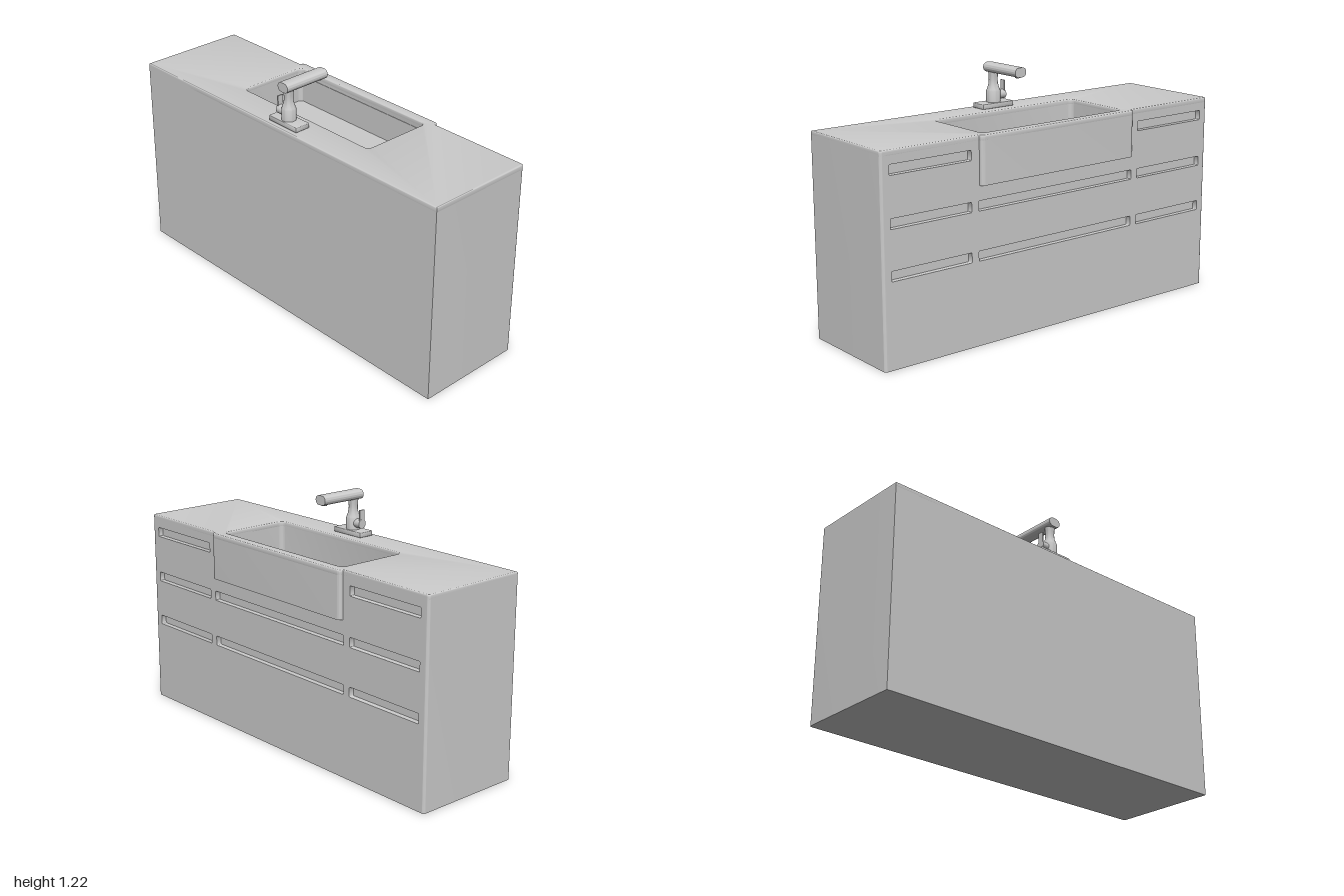
import * as THREE from 'three';
import { toCreasedNormals } from 'three/addons/utils/BufferGeometryUtils.js';

const material = new THREE.MeshStandardMaterial({ color: 0xcccccc });

function add(parent, name, geometry, x = 0, y = 0, z = 0) {
  const mesh = new THREE.Mesh(geometry, material);
  mesh.name = name;
  mesh.position.set(x, y, z);
  parent.add(mesh);
  return mesh;
}

// Rounded rectangle as a path or shape
function roundRect(Type, x0, y0, x1, y1, r) {
  const p = new Type();
  p.moveTo(x0 + r, y0);
  p.lineTo(x1 - r, y0);
  p.absarc(x1 - r, y0 + r, r, -Math.PI / 2, 0);
  p.lineTo(x1, y1 - r);
  p.absarc(x1 - r, y1 - r, r, 0, Math.PI / 2);
  p.lineTo(x0 + r, y1);
  p.absarc(x0 + r, y1 - r, r, Math.PI / 2, Math.PI);
  p.lineTo(x0, y0 + r);
  p.absarc(x0 + r, y0 + r, r, Math.PI, Math.PI * 1.5);
  return p;
}

// Extrude a plan shape upward from y0 to y1, optionally with softened edges
function plan(shape, y0, y1, bevel = 0) {
  const g = new THREE.ExtrudeGeometry(shape, {
    depth: y1 - y0 - 2 * bevel, curveSegments: 8, bevelEnabled: bevel > 0,
    bevelSize: bevel, bevelThickness: bevel, bevelOffset: -bevel, bevelSegments: 3,
  });
  g.rotateX(-Math.PI / 2);
  g.translate(0, y0 + bevel, 0);
  return toCreasedNormals(g, 0.6);
}

// Extrude a (z, y) shape along x from x0 to x1
function sideways(shape, x0, x1) {
  const g = new THREE.ExtrudeGeometry(shape, { depth: x1 - x0, bevelEnabled: false, curveSegments: 10 });
  g.rotateY(Math.PI / 2);
  g.translate(x0, 0, 0);
  return toCreasedNormals(g, 0.6);
}

const BACK = -0.29, FRONT = 0.27, APRON = 0.29;
const basinHole = () => roundRect(THREE.Path, -0.13, -0.43, 0.24, 0.43, 0.025);

function buildCabinet() {
  const cabinet = new THREE.Group();
  cabinet.name = 'cabinet';

  // Sides and back in one C-shaped plan, with rounded front corners
  const c = new THREE.Shape();
  c.moveTo(BACK, -1);
  c.lineTo(FRONT - 0.012, -1);
  c.absarc(FRONT - 0.012, -0.988, 0.012, -Math.PI / 2, 0);
  c.lineTo(FRONT, -0.975);
  c.lineTo(BACK + 0.025, -0.975);
  c.lineTo(BACK + 0.025, 0.975);
  c.lineTo(FRONT, 0.975);
  c.lineTo(FRONT, 0.988);
  c.absarc(FRONT - 0.012, 0.988, 0.012, 0, Math.PI / 2);
  c.lineTo(BACK, 1);
  add(cabinet, 'sidesAndBack', plan(c, 0, 0.99));
  add(cabinet, 'bottom', new THREE.BoxGeometry(0.55, 0.02, 1.96), -0.007, 0.01, 0);

  // Front panel with recessed finger pulls
  const panel = roundRect(THREE.Shape, -0.975, 0, 0.975, 0.99, 0);
  for (const y of [0.435, 0.672, 0.912]) {
    const spans = [[-0.955, -0.515], [0.515, 0.955]];
    if (y < 0.8) spans.push([-0.475, 0.475]);
    for (const [a, b] of spans) {
      panel.holes.push(roundRect(THREE.Path, a, y - 0.024, b, y + 0.024, 0.005));
    }
  }
  add(cabinet, 'frontPanel', sideways(panel, FRONT - 0.028, FRONT));
  add(cabinet, 'pullBacking', new THREE.BoxGeometry(0.005, 0.6, 1.95), FRONT - 0.0295, 0.66, 0);
  return cabinet;
}

function buildSink() {
  const sink = new THREE.Group();
  sink.name = 'sink';

  // Worktop that steps forward over the apron
  const top = new THREE.Shape();
  top.moveTo(BACK, -1);
  top.lineTo(FRONT - 0.012, -1);
  top.absarc(FRONT - 0.012, -0.988, 0.012, -Math.PI / 2, 0);
  top.lineTo(FRONT, -0.47);
  top.absarc(FRONT, -0.45, 0.02, -Math.PI / 2, 0);
  top.lineTo(APRON, 0.45);
  top.absarc(FRONT, 0.45, 0.02, 0, Math.PI / 2);
  top.lineTo(FRONT, 0.988);
  top.absarc(FRONT - 0.012, 0.988, 0.012, 0, Math.PI / 2);
  top.lineTo(BACK, 1);
  top.holes.push(basinHole());
  add(sink, 'worktop', plan(top, 0.97, 1, 0.006));

  const apron = roundRect(THREE.Shape, 0.245, -0.47, APRON, 0.47, 0.02);
  add(sink, 'apron', plan(apron, 0.767, 0.994));

  // Basin walls and floor
  const walls = roundRect(THREE.Shape, -0.145, -0.445, 0.255, 0.445, 0.035);
  walls.holes.push(basinHole());
  add(sink, 'basinWalls', plan(walls, 0.8, 0.98));
  add(sink, 'basinFloor', new THREE.BoxGeometry(0.38, 0.02, 0.87), 0.055, 0.81, 0);

  // Drain: dished ring with a raised plug
  const profile = [[0.05, 0], [0.048, 0.006], [0.042, 0.008], [0.034, 0.004], [0.026, 0.003],
    [0.025, 0.01], [0.02, 0.012], [0.008, 0.012], [0.007, 0.016], [0, 0.016]];
  const drain = new THREE.LatheGeometry(profile.map(([r, y]) => new THREE.Vector2(r, y)), 32);
  add(sink, 'drain', toCreasedNormals(drain, 0.6), -0.055, 0.82, 0);
  return sink;
}

function buildFaucet() {
  const faucet = new THREE.Group();
  faucet.name = 'faucet';
  faucet.position.set(-0.224, 1, 0);

  const base = roundRect(THREE.Shape, -0.041, -0.095, 0.041, 0.095, 0.004);
  add(faucet, 'basePlate', plan(base, 0, 0.025, 0.003));

  // Waisted column
  const profile = [[0.035, 0.02], [0.035, 0.08], [0.032, 0.088], [0.026, 0.105], [0.023, 0.12],
    [0.022, 0.135], [0.023, 0.155], [0.025, 0.18]];
  const column = new THREE.LatheGeometry(profile.map(([r, y]) => new THREE.Vector2(r, y)), 32);
  add(faucet, 'column', toCreasedNormals(column, 0.6));

  // Horizontal spout with the outlet under its tip
  const spout = roundRect(THREE.Shape, -0.034, 0.172, 0.034, 0.219, 0.0225);
  add(faucet, 'spout', sideways(spout, -0.036, 0.214));
  add(faucet, 'outlet', new THREE.CylinderGeometry(0.013, 0.013, 0.012, 24), 0.19, 0.173, 0);

  // Side knob and upright lever
  const knob = new THREE.CylinderGeometry(0.023, 0.023, 0.05, 28);
  knob.rotateX(Math.PI / 2);
  add(faucet, 'knob', knob, 0, 0.058, -0.04);
  add(faucet, 'lever', new THREE.BoxGeometry(0.03, 0.075, 0.007), 0, 0.09, -0.06);
  return faucet;
}

export function createModel() {
  const model = new THREE.Group();
  model.name = 'sinkCabinet';
  model.add(buildCabinet(), buildSink(), buildFaucet());
  return model;
}
